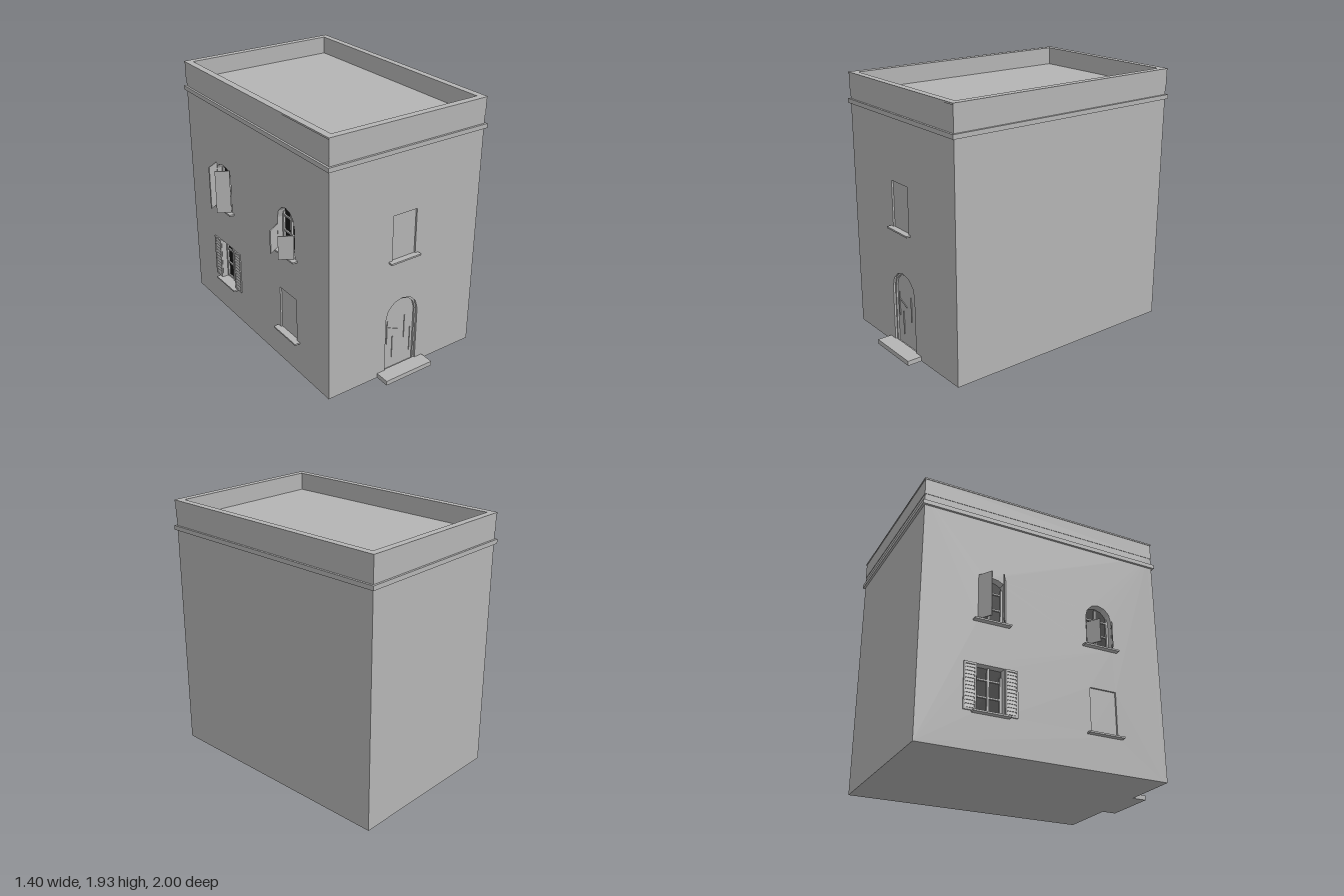
import * as THREE from 'three';

export function createModel() {
  const model = new THREE.Group();
  model.name = 'townHouse';
  const plaster = new THREE.MeshStandardMaterial({ color: 0xb4b4b4 });
  plaster.name = 'plaster grey';
  const dark = new THREE.MeshStandardMaterial({ color: 0x161616 });
  dark.name = 'dark glass';

  const add = (parent, geometry, name, material = plaster) => {
    const mesh = new THREE.Mesh(geometry, material);
    mesh.name = name;
    parent.add(mesh);
    return mesh;
  };
  // box given by its lower and upper corners
  const box = (parent, name, x0, x1, y0, y1, z0, z1, material) => {
    const mesh = add(parent, new THREE.BoxGeometry(x1 - x0, y1 - y0, z1 - z0), name, material);
    mesh.position.set((x0 + x1) / 2, (y0 + y1) / 2, (z0 + z1) / 2);
    return mesh;
  };
  const outline = (points) => points.map(([x, y]) => new THREE.Vector2(x, y));
  const rect = (x0, x1, y0, y1) => [[x0, y0], [x1, y0], [x1, y1], [x0, y1]];
  // opening with a faceted arch
  const arch = (x0, x1, y0, spring, top) => {
    const points = [[x0, y0], [x1, y0]], c = (x0 + x1) / 2, r = (x1 - x0) / 2;
    for (let i = 0; i <= 6; i++) {
      const a = (i / 6) * Math.PI;
      points.push([c + r * Math.cos(a), spring + (top - spring) * Math.sin(a)]);
    }
    return points;
  };
  const slab = (parent, name, outer, holes, z0, z1, material) => {
    const shape = new THREE.Shape(outline(outer));
    holes.forEach((h) => shape.holes.push(new THREE.Path(outline(h))));
    const mesh = add(parent, new THREE.ExtrudeGeometry(shape, { depth: z1 - z0, bevelEnabled: false }), name, material);
    mesh.position.z = z0;
    return mesh;
  };

  // main block behind the two pierced walls
  box(model, 'mainBlock', -0.54, 0.68, 0, 1.8, -0.98, 0.86);

  // front wall with door and blind window
  const front = new THREE.Group();
  front.name = 'frontSide';
  model.add(front);
  const doorHole = arch(-0.115, 0.165, 0.01, 0.46, 0.595);
  slab(front, 'frontWall', rect(-0.6, 0.68, 0, 1.8),
    [doorHole, rect(-0.08, 0.12, 0.92, 1.26)], 0.86, 0.89);
  box(front, 'blindWindowPanel', -0.08, 0.12, 0.92, 1.26, 0.86, 0.877);
  box(front, 'frontSill', -0.11, 0.145, 0.91, 0.922, 0.88, 0.925);
  slab(front, 'doorFrame', doorHole, [arch(-0.103, 0.153, 0.02, 0.46, 0.58)], 0.86, 0.874);
  box(front, 'doorStep', -0.18, 0.23, 0, 0.035, 0.88, 1.0);
  // narrow strips on the door boards
  [[-0.08, 0.23, 0.42], [-0.03, 0.1, 0.28], [0.075, 0.23, 0.42], [0.13, 0.1, 0.3]].forEach(([x, y0, y1]) =>
    box(front, 'doorStrip', x - 0.003, x + 0.003, y0, y1, 0.859, 0.866));
  box(front, 'doorBrace', -0.08, 0.02, 0.342, 0.348, 0.859, 0.866).rotation.z = -0.42;

  // window side, built facing +z and turned to face -x
  const side = new THREE.Group();
  side.name = 'windowSide';
  side.rotation.y = -Math.PI / 2;
  model.add(side);
  const openings = [
    { x0: -0.565, x1: -0.365, y0: 0.92, hole: arch(-0.565, -0.365, 0.92, 1.21, 1.265), top: 1.26, glazed: true, shutter: 0.34 },
    { x0: 0.28, x1: 0.49, y0: 0.92, hole: arch(0.28, 0.49, 0.92, 1.15, 1.26), top: 1.24, glazed: true, shutter: 0.18 },
    { x0: -0.565, x1: -0.365, y0: 0.265, hole: rect(-0.565, -0.365, 0.265, 0.6), top: 0.6, glazed: true },
    { x0: 0.29, x1: 0.5, y0: 0.265, hole: rect(0.29, 0.5, 0.265, 0.6), top: 0.6 },
  ];
  slab(side, 'sideWall', rect(-0.98, 0.86, 0, 1.8), openings.map((o) => o.hole), 0.54, 0.6);

  for (const { x0, x1, y0, hole, top, glazed, shutter } of openings) {
    const c = (x0 + x1) / 2;
    box(side, 'sideSill', x0 - 0.035, x1 + 0.035, y0 - 0.012, y0, 0.59, 0.64);
    if (!glazed) {
      slab(side, 'blindWindowPanel', hole, [], 0.54, 0.587);
      continue;
    }
    slab(side, 'windowGlass', hole, [], 0.541, 0.545, dark);
    // window bars
    [x0 + 0.008, c, x1 - 0.008].forEach((x) =>
      box(side, 'windowUpright', x - 0.008, x + 0.008, y0, x === c ? top : top - 0.05, 0.542, 0.56));
    for (let i = 0; i < 3; i++) {
      const y = y0 + 0.008 + i * (top - y0) * 0.36;
      box(side, 'windowCrossbar', x0, x1, y - 0.006, y + 0.006, 0.542, 0.556);
    }
    if (shutter) {
      // half open shutters, hinged at the jambs
      for (const s of [-1, 1]) {
        const hinge = new THREE.Group();
        hinge.name = 'openShutter';
        hinge.position.set(s < 0 ? x0 : x1, y0, 0.605);
        hinge.rotation.y = s < 0 ? -1.02 : Math.PI + 1.02;
        side.add(hinge);
        box(hinge, 'shutterLeaf', 0, 0.108, 0.002, shutter, -0.004, 0.004);
      }
    }
  }

  // louvred shutters folded flat against the wall
  for (const x of [-0.66, -0.36]) {
    slab(side, 'louvreFrame', rect(x, x + 0.09, 0.265, 0.6),
      [rect(x + 0.012, x + 0.078, 0.28, 0.585)], 0.599, 0.609);
    for (let i = 0; i < 12; i++) {
      const y = 0.292 + i * 0.0255;
      box(side, 'louvreSlat', x + 0.012, x + 0.078, y - 0.011, y + 0.011, 0.602, 0.605).rotation.x = -0.3;
    }
  }

  // cornice band, parapet and coping: rings laid flat
  const ring = (name, grow, inset, y0, y1) => {
    const r = slab(model, name, rect(-0.6 - grow, 0.68 + grow, -0.89 - grow, 0.98 + grow),
      [rect(-0.6 + inset, 0.68 - inset, -0.89 + inset, 0.98 - inset)], 0, y1 - y0);
    r.rotation.x = -Math.PI / 2;
    r.position.y = y0;
  };
  ring('corniceBand', 0.016, 0.02, 1.71, 1.742);
  ring('parapet', 0.003, 0.045, 1.8, 1.92);
  ring('coping', 0.007, 0.045, 1.92, 1.932);

  return model;
}
